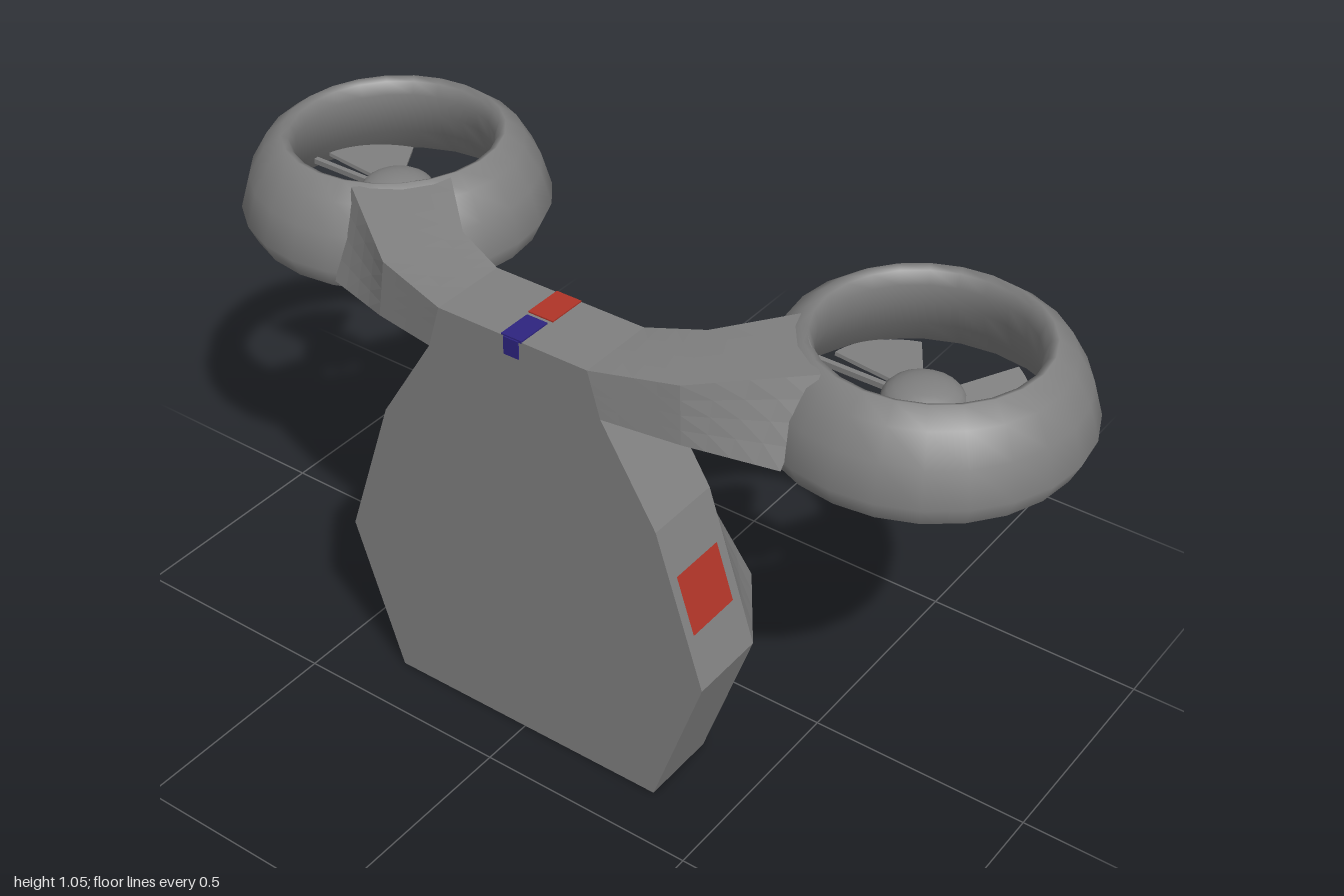
import * as THREE from 'three';

const grey = new THREE.MeshStandardMaterial({ color: 0x808080 });
const red = new THREE.MeshStandardMaterial({ color: 0xb03428 });
const blue = new THREE.MeshStandardMaterial({ color: 0x2e2480 });
grey.name = 'hullGrey'; red.name = 'markRed'; blue.name = 'markBlue';

// Bilinear patch over corners a, b, c, d (u runs a to b, v runs a to d); side -1 mirrors it in x
function patch(corners, side = 1, [u0, u1, v0, v1] = [0, 1, 0, 1], lift = 0, n = 4) {
  const [a, b, c, d] = corners.map(p => new THREE.Vector3(...p));
  const normal = b.clone().sub(a).cross(d.clone().sub(a)).normalize();
  const at = (i, j) => {
    const u = u0 + (u1 - u0) * i / n, v = v0 + (v1 - v0) * j / n;
    const p = a.clone().lerp(b, u).lerp(d.clone().lerp(c, u), v).addScaledVector(normal, lift);
    p.x *= side;
    return p;
  };
  const points = [];
  for (let i = 0; i < n; i++) for (let j = 0; j < n; j++) {
    const p = at(i, j), q = at(i + 1, j), r = at(i + 1, j + 1), s = at(i, j + 1);
    points.push(...(side > 0 ? [p, q, r, p, r, s] : [p, r, q, p, s, r]));
  }
  const geometry = new THREE.BufferGeometry().setFromPoints(points);
  geometry.computeVertexNormals();
  return geometry;
}

function add(parent, name, geometry, material, x = 0, y = 0, z = 0) {
  const mesh = new THREE.Mesh(geometry, material);
  mesh.name = name;
  mesh.position.set(x, y, z);
  parent.add(mesh);
  return mesh;
}

function makeFan(name) {
  const fan = new THREE.Group();
  fan.name = name;
  // Duct: rounded outside, flared towards the bottom inside
  const profile = [[0.29, 0.84], [0.316, 0.84], [0.316, 0.84], [0.337, 0.885], [0.315, 0.96], [0.28, 1.02],
    [0.24, 1.05], [0.225, 1.043], [0.215, 1.015], [0.218, 0.97], [0.24, 0.91], [0.29, 0.84]];
  add(fan, 'duct', new THREE.LatheGeometry(
    profile.map(p => new THREE.Vector2(...p)), 24), grey);
  // Hub, cross strut and three pitched blades
  add(fan, 'hub', new THREE.SphereGeometry(0.083, 20, 12), grey, 0, 0.895, 0).scale.y = 0.5;
  add(fan, 'strut', new THREE.BoxGeometry(0.48, 0.012, 0.012), grey, 0, 0.89, 0);
  const outline = new THREE.Shape();
  outline.absarc(0, 0, 0.205, -0.5, 0.5, false);
  outline.absarc(0, 0, 0.06, 0.5, -0.5, true);
  const blade = new THREE.ExtrudeGeometry(outline, { depth: 0.008, bevelEnabled: false, curveSegments: 8 });
  blade.rotateX(-Math.PI / 2 + 0.15);
  for (let i = 0; i < 3; i++) {
    add(fan, 'blade', blade, grey, 0, 0.895, 0).rotation.y = -Math.PI / 2 + i * Math.PI * 2 / 3;
  }
  return fan;
}

export function createModel() {
  const model = new THREE.Group();
  model.name = 'fanBackpack';

  // Flat front slab with its narrow neck
  const half = [[0.34, 0], [0.455, 0.345], [0.34, 0.69], [0.21, 0.9], [0.18, 1]];
  const outline = [...half, ...half.map(([x, y]) => [-x, y]).reverse()];
  add(model, 'frontSlab', new THREE.ExtrudeGeometry(
    new THREE.Shape(outline.map(p => new THREE.Vector2(...p))),
    { depth: 0.18, bevelEnabled: false }), grey, 0, 0, 0.2);

  // Control points of the faceted rear shell: centre ridge, inner ring, outer rim
  const c0 = [0, 0, 0.2], c1 = [0, 0.09, 0.02], c2 = [0, 0.345, -0.04], c3 = [0, 0.69, 0.02], c4 = [0, 0.8, 0.2];
  const s1 = [0.26, 0.09, 0.06], s2 = [0.33, 0.345, 0.02], s3 = [0.19, 0.6, 0.06];
  const o1 = [0.34, 0, 0.2], o2 = [0.455, 0.345, 0.2], o3 = [0.34, 0.69, 0.2], o4 = [0.272, 0.8, 0.2];
  const lowerBack = [c1, c2, s2, s1], upperBack = [c2, c3, s3, s2];
  const shell = [lowerBack, upperBack, [c0, c1, s1, o1], [c3, c4, o4, s3],
    [s1, s2, o2, o1], [s2, s3, o3, o2], [s3, o4, o3, o3]];
  const slabFlank = [o2, o3, [0.34, 0.69, 0.38], [0.455, 0.345, 0.38]];

  // Arm cross-sections from neck to duct: front top, front bottom, back bottom, back top
  const arm = [
    [[0.18, 1, 0.38], [0.21, 0.9, 0.38], [0.222, 0.88, 0.2], [0.18, 1, 0.2]],
    [[0.36, 1.015, 0.335], [0.37, 0.89, 0.345], [0.3, 0.865, 0.16], [0.3, 1.02, 0.16]],
    [[0.57, 1.045, 0.19], [0.55, 0.87, 0.28], [0.36, 0.85, 0.09], [0.43, 1.045, 0.04]],
  ];

  for (const side of [1, -1]) {
    const label = side > 0 ? 'left' : 'right';
    for (const face of shell) add(model, label + 'ShellFacet', patch(face, side), grey);
    for (let k = 0; k < 2; k++) for (let i = 0; i < 4; i++) {
      const j = (i + 1) % 4;
      add(model, label + 'Arm', patch([arm[k][i], arm[k][j], arm[k + 1][j], arm[k + 1][i]], side), grey);
    }
    // Painted panels on the back ridge and the flanks
    add(model, label + 'BackRedPanel', patch(lowerBack, side, [0, 0.94, 0, 0.38], 0.004), red);
    add(model, label + 'BackBluePanel', patch(upperBack, side, [0.06, 0.68, 0, 0.36], 0.004), blue);
    add(model, label + 'FlankPanel', patch(slabFlank, side, [0.33, 0.7, 0.15, 0.9], 0.004), red);

    const fan = makeFan(label + 'Fan');
    fan.position.set(side * 0.66, 0, -0.045);
    model.add(fan);
  }

  // Painted marks on the neck
  add(model, 'neckTopBlue', new THREE.BoxGeometry(0.05, 0.006, 0.08), blue, 0, 1, 0.34);
  add(model, 'neckFrontBlue', new THREE.BoxGeometry(0.036, 0.04, 0.006), blue, 0, 0.98, 0.38);
  add(model, 'neckTopRed', new THREE.BoxGeometry(0.06, 0.006, 0.09), red, 0, 1, 0.245);
  add(model, 'neckBackRed', patch([[-0.014, 0.88, 0.2], [-0.03, 1, 0.2], [0.03, 1, 0.2], [0.014, 0.88, 0.2]],
    1, [0, 1, 0, 1], 0.003), red);
  return model;
}
